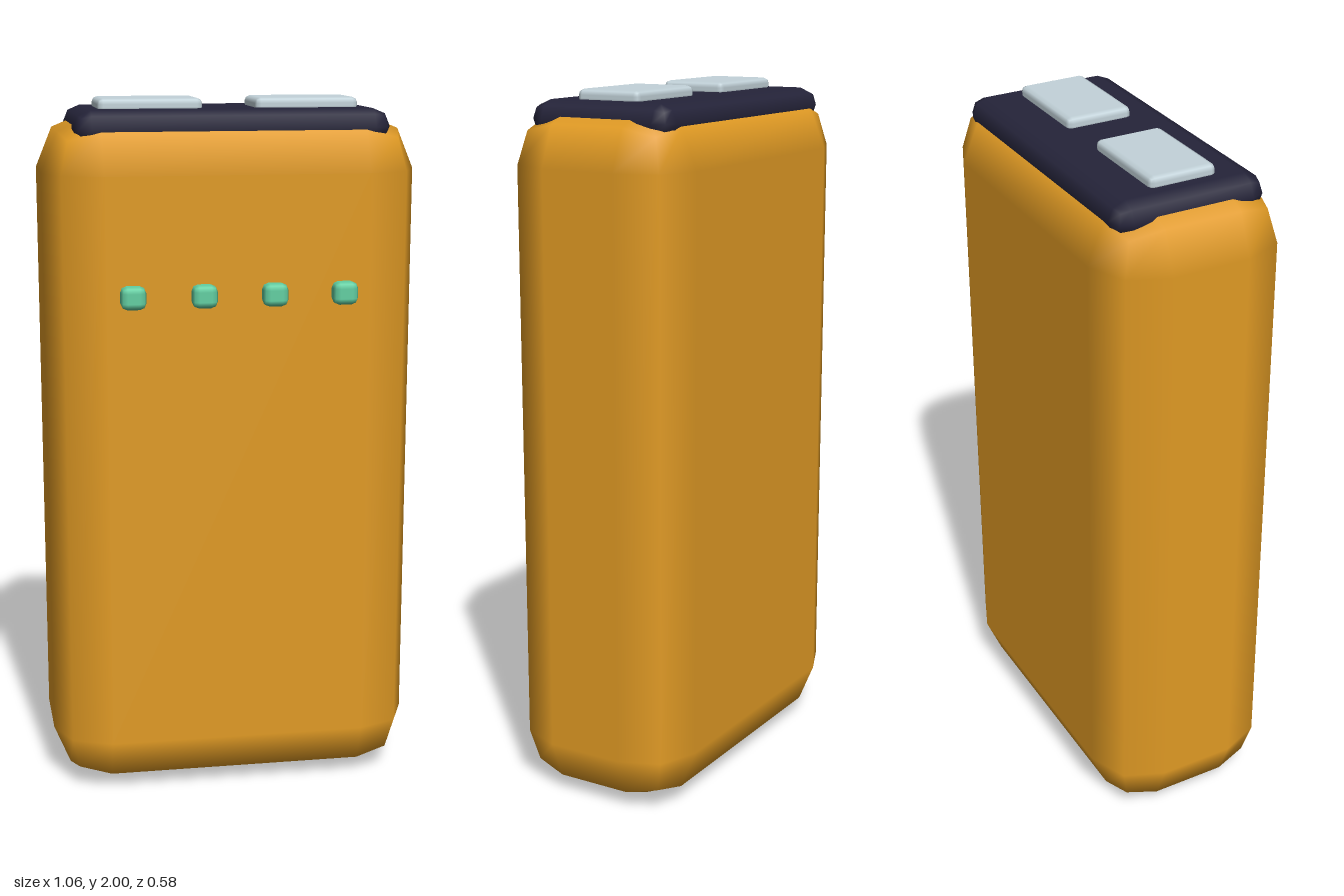
import * as THREE from 'three';
import { RoundedBoxGeometry } from 'three/addons/geometries/RoundedBoxGeometry.js';

function paint(name, color) {
  const material = new THREE.MeshStandardMaterial({ color });
  material.name = name;
  return material;
}

export function createModel() {
  const model = new THREE.Group();
  model.name = 'batteryPack';
  const amber = paint('amber', 0xe09a24);
  const navy = paint('darkNavy', 0x25243a);
  const silver = paint('paleSilver', 0xc3d3da);
  const mint = paint('mintGreen', 0x62cfa2);

  // Rounded block from its size, edge radius and centre
  function block(name, material, size, radius, centre) {
    const mesh = new THREE.Mesh(new RoundedBoxGeometry(...size, 1, radius), material);
    mesh.name = name;
    mesh.position.set(...centre);
    model.add(mesh);
  }

  // Main case with wide bevelled corners, and the dark cap sunk into its top
  block('case', amber, [1.06, 1.96, 0.54], 0.16, [0, 0.98, -0.02]);
  block('cap', navy, [0.89, 0.1, 0.445], 0.05, [0, 1.922, -0.0225]);

  // Two contact pads on the cap
  for (const side of [-1, 1]) {
    block(side > 0 ? 'leftPad' : 'rightPad', silver, [0.295, 0.04, 0.195], 0.016,
      [side * 0.222, 1.98, -0.012]);
  }

  // Row of indicator lights on the front
  for (let i = 0; i < 4; i++) {
    block('light' + (i + 1), mint, [0.07, 0.064, 0.07], 0.018,
      [-0.297 + i * 0.198, 1.471, 0.255]);
  }
  return model;
}
